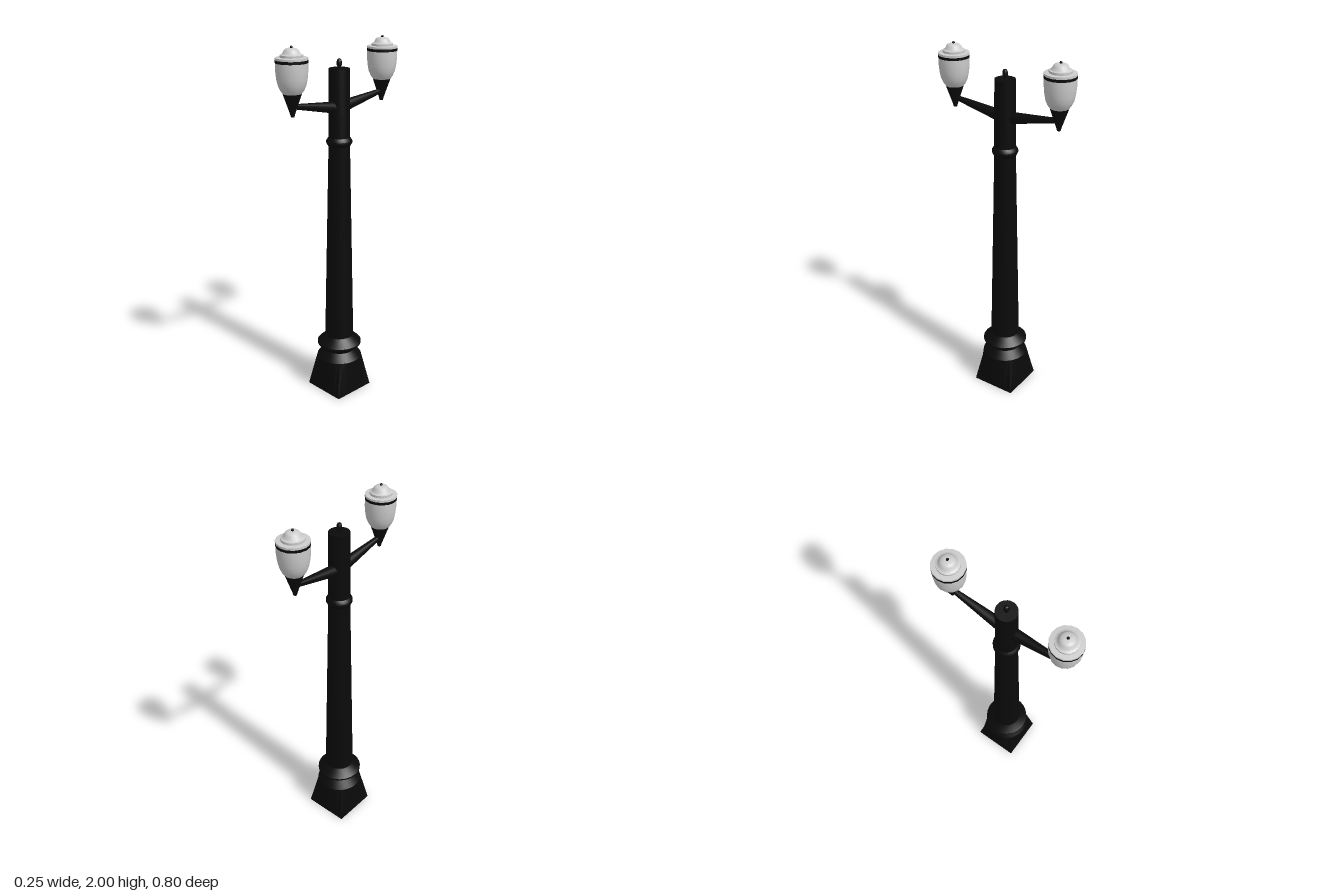
import * as THREE from 'three';
import { toCreasedNormals } from 'three/addons/utils/BufferGeometryUtils.js';

const black = new THREE.MeshStandardMaterial({ color: 0x0a0a0a });
const grey = new THREE.MeshStandardMaterial({ color: 0xcccccc });

function part(name, geometry, material, crease = 0.55) {
  const mesh = new THREE.Mesh(toCreasedNormals(geometry, crease), material);
  mesh.name = name;
  return mesh;
}

// Profile points are [radius, height], listed from bottom to top
function turned(name, profile, sides, material) {
  const points = profile.map(([r, y]) => new THREE.Vector2(r, y));
  return part(name, new THREE.LatheGeometry(points, sides), material);
}

// Plinth: square at the ground, round at the top
function plinth() {
  const half = 0.127, height = 0.2;
  const geometry = new THREE.CylinderGeometry(half, half, height, 32);
  geometry.translate(0, height / 2, 0);
  const p = geometry.attributes.position;
  for (let i = 0; i < p.count; i++) {
    const x = p.getX(i), z = p.getZ(i);
    const reach = Math.max(Math.abs(x), Math.abs(z));
    if (p.getY(i) > 0.01 || reach < 0.001) continue;
    p.setX(i, x * half / reach);
    p.setZ(i, z * half / reach);
  }
  return part('plinth', geometry, black);
}

// Tapered arm from the post to the lamp holder
function arm() {
  const from = new THREE.Vector3(0, 1.657, 0.02);
  const to = new THREE.Vector3(0, 1.702, 0.31);
  const direction = to.clone().sub(from);
  const mesh = part('arm', new THREE.CylinderGeometry(0.013, 0.032, direction.length(), 16), black);
  mesh.position.copy(from).add(to).multiplyScalar(0.5);
  mesh.quaternion.setFromUnitVectors(new THREE.Vector3(0, 1, 0), direction.normalize());
  return mesh;
}

function lamp() {
  const group = new THREE.Group();
  group.name = 'lamp';
  group.add(
    turned('lampHolder', [[0, 1.65], [0.009, 1.652], [0.014, 1.67], [0.048, 1.768], [0, 1.768]], 16, black),
    turned('globe', [[0, 1.766], [0.046, 1.766], [0.06, 1.785], [0.071, 1.81], [0.077, 1.84],
      [0.081, 1.88], [0.081, 1.92]], 16, grey),
    turned('band', [[0.078, 1.918], [0.0815, 1.918], [0.0815, 1.933], [0.078, 1.933]], 16, black),
    turned('lid', [[0.078, 1.932], [0.082, 1.932], [0.082, 1.943], [0.058, 1.945], [0.058, 1.956],
      [0.049, 1.959], [0.042, 1.967], [0.037, 1.978], [0.031, 1.984], [0.018, 1.988], [0, 1.99]], 16, grey),
    turned('lampTip', [[0.006, 1.985], [0.007, 1.993], [0.004, 1.999], [0, 2]], 10, black),
  );
  group.position.z = 0.32;
  return group;
}

export function createModel() {
  const model = new THREE.Group();
  model.name = 'streetLamp';
  model.add(
    plinth(),
    turned('foot', [[0.127, 0.2], [0.118, 0.212], [0.092, 0.246], [0.125, 0.28], [0.125, 0.29],
      [0.085, 0.327], [0.08, 0.335]], 32, black),
    turned('post', [[0.081, 0.327], [0.057, 1.46], [0.056, 1.62], [0.054, 1.858], [0, 1.858]], 24, black),
    turned('collar', [[0.055, 1.445], [0.062, 1.455], [0.069, 1.468], [0.069, 1.48],
      [0.062, 1.492], [0.055, 1.5]], 24, black),
    turned('finial', [[0.009, 1.856], [0.009, 1.868], [0.014, 1.875], [0.014, 1.892],
      [0.009, 1.904], [0, 1.908]], 12, black),
  );

  // Two matching arms, front and back
  for (const [name, turn] of [['frontArm', 0], ['backArm', Math.PI]]) {
    const side = new THREE.Group();
    side.name = name;
    side.add(arm(), lamp());
    side.rotation.y = turn;
    model.add(side);
  }
  return model;
}
